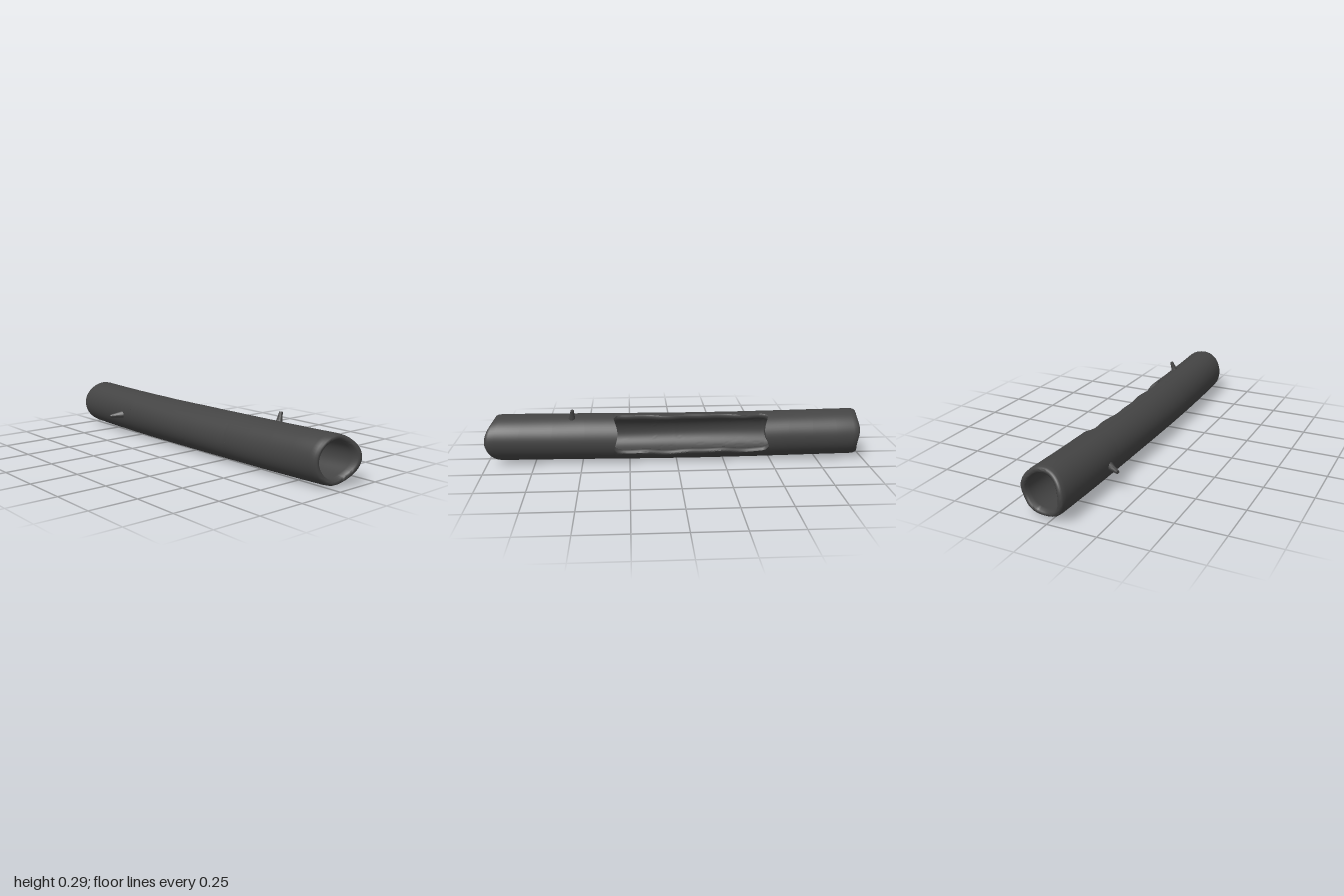
import * as THREE from 'three';
import { toCreasedNormals } from 'three/addons/utils/BufferGeometryUtils.js';

const bark = new THREE.MeshStandardMaterial({ color: 0x444444 });
const R = 0.122, WALL = 0.029, TAU = Math.PI * 2;
const WIN_L = -0.49, WIN_R = 0.335;             // window span along the log
const WIN_TOP = 0.24, WIN_LOW = 2.15;           // window angles, from up towards the back

// Point on the gently bowed log: angle t runs from up (+y) towards the back (-z)
function logPoint(x, t, depth) {
  const r = R + 0.0015 * Math.sin(3 * t + 4 * x) - depth;
  return [x, 0.1235 + 0.01 * x * x + r * Math.cos(t), -0.022 - 0.012 * x * x - r * Math.sin(t)];
}

// Skin over a grid of points, optionally closed in either direction
function gridMesh(name, rows, closeA, closeB, flip) {
  const na = rows.length, nb = rows[0].length, index = [];
  for (let a = 0; a < (closeA ? na : na - 1); a++) {
    for (let b = 0; b < (closeB ? nb : nb - 1); b++) {
      const a1 = (a + 1) % na, b1 = (b + 1) % nb;
      const p = a * nb + b, q = a1 * nb + b, r = a1 * nb + b1, s = a * nb + b1;
      index.push(...(flip ? [p, r, q, p, s, r] : [p, q, r, p, r, s]));
    }
  }
  const geo = new THREE.BufferGeometry();
  geo.setAttribute('position', new THREE.Float32BufferAttribute(rows.flat(2), 3));
  geo.setIndex(index);
  const mesh = new THREE.Mesh(toCreasedNormals(geo, 1.0), bark);
  mesh.name = name;
  return mesh;
}

// Full hollow ring between a ragged outer end and the window edge
function ringSection(name, endX, joinX, flip) {
  const inner = [0, 0.25, 0.5, 0.75, 0.93, 0.985].map(u => [u, WALL]);
  const lip = [[0.995, WALL - 0.006], [1, 0.015], [0.994, 0.007]];
  const outer = [[0.975, 0.002], [0.93, 0], [0.75, 0], [0.5, 0], [0.25, 0], [0, 0]];
  const profile = [...inner, ...lip, ...outer];
  const sides = 56, rows = profile.map(([u, d]) => {
    const row = [];
    for (let i = 0; i < sides; i++) {
      const t = i / sides * TAU;
      row.push(logPoint(THREE.MathUtils.lerp(joinX(t), endX(t), u), t, d));
    }
    return row;
  });
  return gridMesh(name, rows, true, true, flip);
}

// Open trough beside the window, with wavy rounded lips
function troughSection() {
  const steps = 48, arc = 40, rows = [];
  for (let i = 0; i <= steps; i++) {
    const u = i / steps, x = THREE.MathUtils.lerp(WIN_L, WIN_R, u);
    const edge = Math.min(1, Math.min(u, 1 - u) / 0.06);
    const corner = 0.28 * (1 - Math.sqrt(1 - (1 - edge) ** 2));
    const wave = 0.05 * Math.sin(15 * x + 1) + 0.035 * Math.sin(31 * x);
    const t0 = WIN_LOW - corner + wave * 0.8;
    const t1 = TAU + WIN_TOP + corner + wave;
    const row = [];
    for (let k = 0; k <= arc; k++) row.push(logPoint(x, THREE.MathUtils.lerp(t0, t1, k / arc), 0));
    row.push(logPoint(x, t1 + 0.05, 0.008), logPoint(x, t1 + 0.05, WALL - 0.008));
    for (let k = arc; k >= 0; k--) row.push(logPoint(x, THREE.MathUtils.lerp(t0, t1, k / arc), WALL));
    row.push(logPoint(x, t0 - 0.05, WALL - 0.008), logPoint(x, t0 - 0.05, 0.008));
    rows.push(row);
  }
  return gridMesh('trough', rows, false, true, false);
}

// Tapered broken twig with a flared root
function twig(name, from, to, r0, r1) {
  const a = new THREE.Vector3(...from), dir = new THREE.Vector3(...to).sub(a), len = dir.length();
  const pts = [[r0 * 1.35, 0], [r0, len * 0.3], [(r0 + r1) / 2, len * 0.6], [r1, len], [0, len]]
    .map(p => new THREE.Vector2(...p));
  const mesh = new THREE.Mesh(toCreasedNormals(new THREE.LatheGeometry(pts, 10), 0.9), bark);
  mesh.position.copy(a);
  mesh.quaternion.setFromUnitVectors(new THREE.Vector3(0, 1, 0), dir.normalize());
  mesh.name = name;
  return mesh;
}

export function createModel() {
  const log = new THREE.Group();
  log.name = 'hollowLog';

  // Window side edges bulge slightly into the opening
  const bulge = t => {
    const u = (t - WIN_TOP) / (WIN_LOW - WIN_TOP);
    return u > 0 && u < 1 ? Math.sin(u * Math.PI) ** 2 * 0.028 : 0;
  };
  // Ragged ends: the front juts out on one end, the back on the other
  const rightEnd = t => -0.966 - 0.034 * Math.max(0, -Math.sin(t)) ** 2 + 0.006 * Math.sin(4 * t) * Math.max(0, Math.sin(t));
  const leftEnd = t => 0.952 + 0.048 * Math.max(0, Math.sin(t)) ** 2 - 0.022 * Math.max(0, -Math.sin(t)) ** 2;

  log.add(
    ringSection('rightEnd', rightEnd, t => WIN_L + bulge(t), false),
    ringSection('leftEnd', leftEnd, t => WIN_R - bulge(t) * 0.8, true),
    troughSection(),
    twig('frontTwig', [-0.57, 0.121, 0.078], [-0.61, 0.113, 0.15], 0.018, 0.009),
    twig('topTwig', [0.55, 0.232, -0.066], [0.545, 0.286, -0.085], 0.015, 0.009)
  );
  return log;
}
